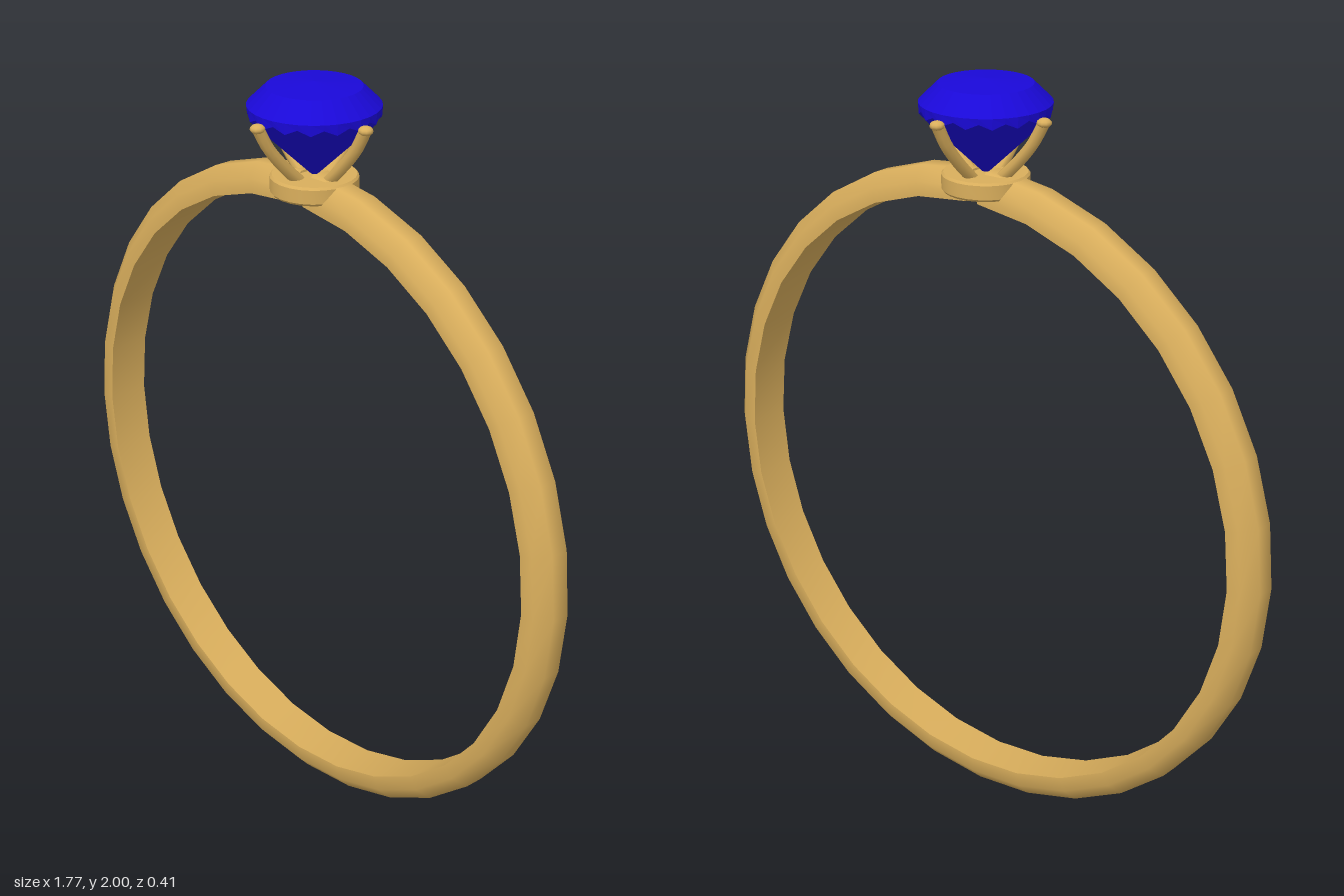
import * as THREE from 'three';
import { toCreasedNormals } from 'three/addons/utils/BufferGeometryUtils.js';

const gold = new THREE.MeshStandardMaterial({ color: 0xd9ae5c, side: THREE.DoubleSide });
const blue = new THREE.MeshStandardMaterial({ color: 0x1a08d8, flatShading: true });
const v2 = (x, y) => new THREE.Vector2(x, y);

function add(parent, name, geometry, material) {
  const mesh = new THREE.Mesh(geometry, material);
  mesh.name = name;
  parent.add(mesh);
  return mesh;
}

// Band: flat inside, bevelled outside, with a small gap under the setting
function makeBand() {
  const band = new THREE.Group();
  band.name = 'band';
  band.position.y = 0.885;
  const section = [v2(0.81, -0.058), v2(0.848, -0.058), v2(0.885, -0.025),
    v2(0.885, 0.025), v2(0.848, 0.058), v2(0.81, 0.058)];
  const gap = 0.024;
  const hoop = new THREE.LatheGeometry([...section, section[0]], 32, gap, Math.PI * 2 - 2 * gap);
  hoop.rotateX(-Math.PI / 2);
  add(band, 'hoop', toCreasedNormals(hoop, 0.95), gold);
  for (const side of [-1, 1]) {
    const cap = new THREE.ShapeGeometry(new THREE.Shape(section));
    cap.rotateY(-Math.PI / 2);
    // section x becomes height, section y becomes depth
    const p = cap.attributes.position;
    for (let i = 0; i < p.count; i++) {
      const r = p.getZ(i), z = p.getY(i);
      p.setXYZ(i, side * r * Math.sin(gap), r * Math.cos(gap), z);
    }
    cap.computeVertexNormals();
    add(band, 'bandEnd', cap, gold);
  }
  return band;
}

// Gem: faceted profile with a scalloped lower girdle
function makeGem() {
  const profile = [v2(0, 1.755), v2(0.166, 1.92), v2(0.168, 1.943), v2(0.12, 1.99), v2(0, 2)];
  const gem = new THREE.LatheGeometry(profile, 32);
  const p = gem.attributes.position;
  for (let i = 0; i <= 32; i++) {
    const k = i * profile.length + 1;
    p.setY(k, p.getY(k) + (i % 2 ? 0.008 : -0.006));
  }
  gem.computeVertexNormals();
  return gem;
}

export function createModel() {
  const ring = new THREE.Group();
  ring.name = 'ring';
  ring.add(makeBand());

  // Round seat under the gem
  const seat = new THREE.LatheGeometry([v2(0, 1.716), v2(0.107, 1.716), v2(0.112, 1.722),
    v2(0.112, 1.758), v2(0.107, 1.764), v2(0, 1.764)], 24);
  add(ring, 'seat', toCreasedNormals(seat, 0.6), gold);

  add(ring, 'gem', makeGem(), blue);

  // Four bowed claws with rounded tips
  const path = new THREE.CatmullRomCurve3([[0.045, 1.75], [0.1, 1.803], [0.15, 1.862], [0.182, 1.918]]
    .map(([x, y]) => new THREE.Vector3(x, y, 0)));
  const claw = new THREE.TubeGeometry(path, 8, 0.016, 8);
  const tip = new THREE.SphereGeometry(0.019, 10, 8);
  tip.scale(1, 0.65, 1);
  for (let i = 0; i < 4; i++) {
    const prong = new THREE.Group();
    prong.name = 'prong';
    prong.rotation.y = i * Math.PI / 2;
    add(prong, 'claw', claw, gold);
    add(prong, 'clawTip', tip, gold).position.set(0.184, 1.92, 0);
    ring.add(prong);
  }
  return ring;
}
